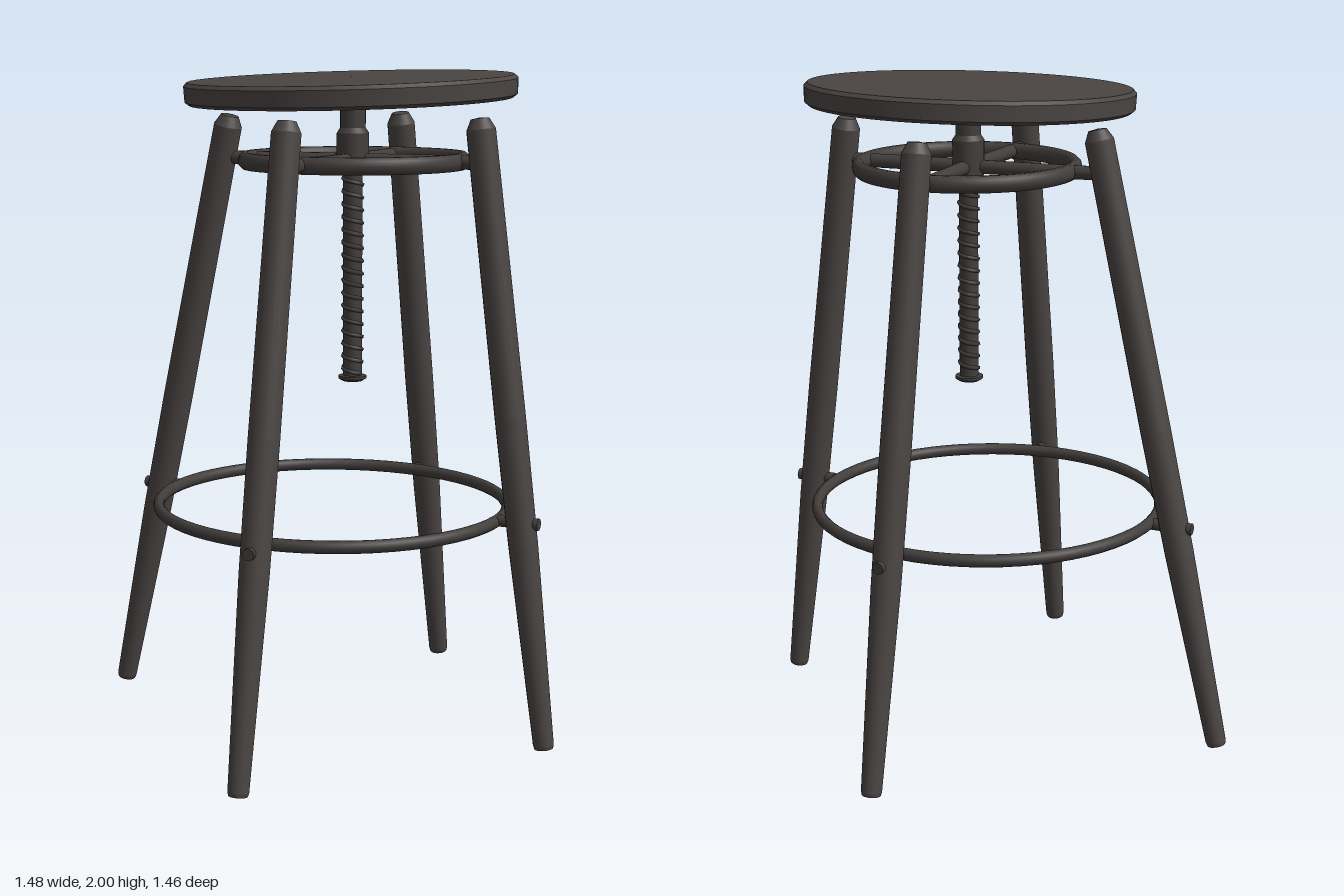
import * as THREE from 'three';

const wood = new THREE.MeshStandardMaterial({ color: 0x4a4543 });
wood.name = 'dark wood';
const metal = new THREE.MeshStandardMaterial({ color: 0x423e3c });
metal.name = 'dark metal';

const UP = new THREE.Vector3(0, 1, 0);
const AXIS = { x: 0.095, z: -0.005 }; // seat and screw axis

function add(parent, name, geometry, material) {
  const mesh = new THREE.Mesh(geometry, material);
  mesh.name = name;
  parent.add(mesh);
  return mesh;
}

// Lathe from [radius, y] pairs; each segment keeps a sharp edge
function turned(profile, sides) {
  const pts = [];
  profile.forEach(([r, y], i) => {
    pts.push(new THREE.Vector2(r, y));
    if (i > 0 && i < profile.length - 1) pts.push(new THREE.Vector2(r, y));
  });
  return new THREE.LatheGeometry(pts, sides);
}

// Places a y-axis mesh with its origin at a, pointing to b
function aim(mesh, a, b) {
  mesh.position.copy(a);
  mesh.quaternion.setFromUnitVectors(UP, b.clone().sub(a).normalize());
}

// Straight rod between two points
function rod(parent, name, a, b, radius, material, sides = 12) {
  const length = a.distanceTo(b);
  const geometry = new THREE.CylinderGeometry(radius, radius, length, sides);
  geometry.translate(0, length / 2, 0);
  aim(add(parent, name, geometry, material), a, b);
}

function ring(parent, name, radius, tube, height, x, y, z) {
  const geometry = new THREE.TorusGeometry(radius, tube, 10, 64);
  geometry.rotateX(Math.PI / 2);
  geometry.scale(1, height / tube, 1);
  const mesh = add(parent, name, geometry, metal);
  mesh.position.set(x, y, z);
  return mesh;
}

export function createModel() {
  const stool = new THREE.Group();
  stool.name = 'stool';

  // Round seat, tipped slightly towards the front
  const seat = add(stool, 'seat', turned([
    [0, -0.036], [0.478, -0.034], [0.491, -0.024],
    [0.493, 0.022], [0.482, 0.033], [0, 0.035],
  ], 64), wood);
  seat.position.set(AXIS.x, 1.949, 0.005);
  seat.rotation.x = 0.04;

  // Splayed legs: foot x, z and top x, z
  const legs = [
    [-0.71, 0.225, -0.272, 0.146],
    [-0.132, -0.7, -0.04, -0.373],
    [0.31, 0.7, 0.205, 0.386],
    [0.71, -0.183, 0.462, -0.146],
  ];
  const footRing = new THREE.Vector3(0.035, 0.69, 0.017);
  const hub = new THREE.Vector3(AXIS.x, 1.74, AXIS.z);

  for (const [fx, fz, tx, tz] of legs) {
    const foot = new THREE.Vector3(fx, 0.01, fz);
    const top = new THREE.Vector3(tx, 1.87, tz);
    const h = foot.distanceTo(top);
    const leg = add(stool, 'leg', turned([
      [0, 0], [0.028, 0], [0.031, 0.012], [0.044, 0.62],
      [0.046, 1.0], [0.043, h - 0.035], [0.027, h - 0.003], [0, h],
    ], 20), wood);
    aim(leg, foot, top);

    // Bolt through the leg into the foot ring
    const at = foot.clone().lerp(top, (footRing.y - 0.01) / 1.86);
    const out = at.clone().sub(footRing).setY(0).normalize();
    rod(stool, 'footRingBolt', at.clone().addScaledVector(out, -0.07),
      at.clone().addScaledVector(out, 0.056), 0.018, metal);

    // Spoke from the hub through the upper ring to the leg
    const end = foot.clone().lerp(top, (hub.y - 0.01) / 1.86);
    rod(stool, 'spoke', hub, end, 0.021, metal);
  }

  ring(stool, 'footRing', 0.535, 0.017, 0.019, footRing.x, footRing.y, footRing.z)
    .rotation.z = -0.008;
  ring(stool, 'upperRing', 0.325, 0.02, 0.026, 0.1, hub.y, -0.005);

  // Height screw with collar, end cap and thread
  const screw = new THREE.Group();
  screw.name = 'heightScrew';
  screw.position.set(AXIS.x, 0, AXIS.z);
  stool.add(screw);
  add(screw, 'screwRod', turned([[0, 1.09], [0.029, 1.09], [0.029, 1.92], [0, 1.92]], 20), metal);
  add(screw, 'screwCap', turned([
    [0, 1.075], [0.03, 1.075], [0.043, 1.083], [0.043, 1.091], [0, 1.095],
  ], 20), metal);
  add(screw, 'collar', turned([
    [0, 1.7], [0.043, 1.7], [0.048, 1.72], [0.048, 1.82], [0.038, 1.835], [0.038, 1.925], [0, 1.925],
  ], 24), metal);

  const turns = 16;
  const points = [];
  for (let i = 0; i <= turns * 12; i++) {
    const a = (i / 12) * Math.PI * 2;
    points.push(new THREE.Vector3(
      Math.cos(a) * 0.028, 1.1 + 0.61 * i / (turns * 12), Math.sin(a) * 0.028));
  }
  const helix = new THREE.CatmullRomCurve3(points);
  add(screw, 'thread', new THREE.TubeGeometry(helix, turns * 16, 0.007, 5), metal);

  return stool;
}
